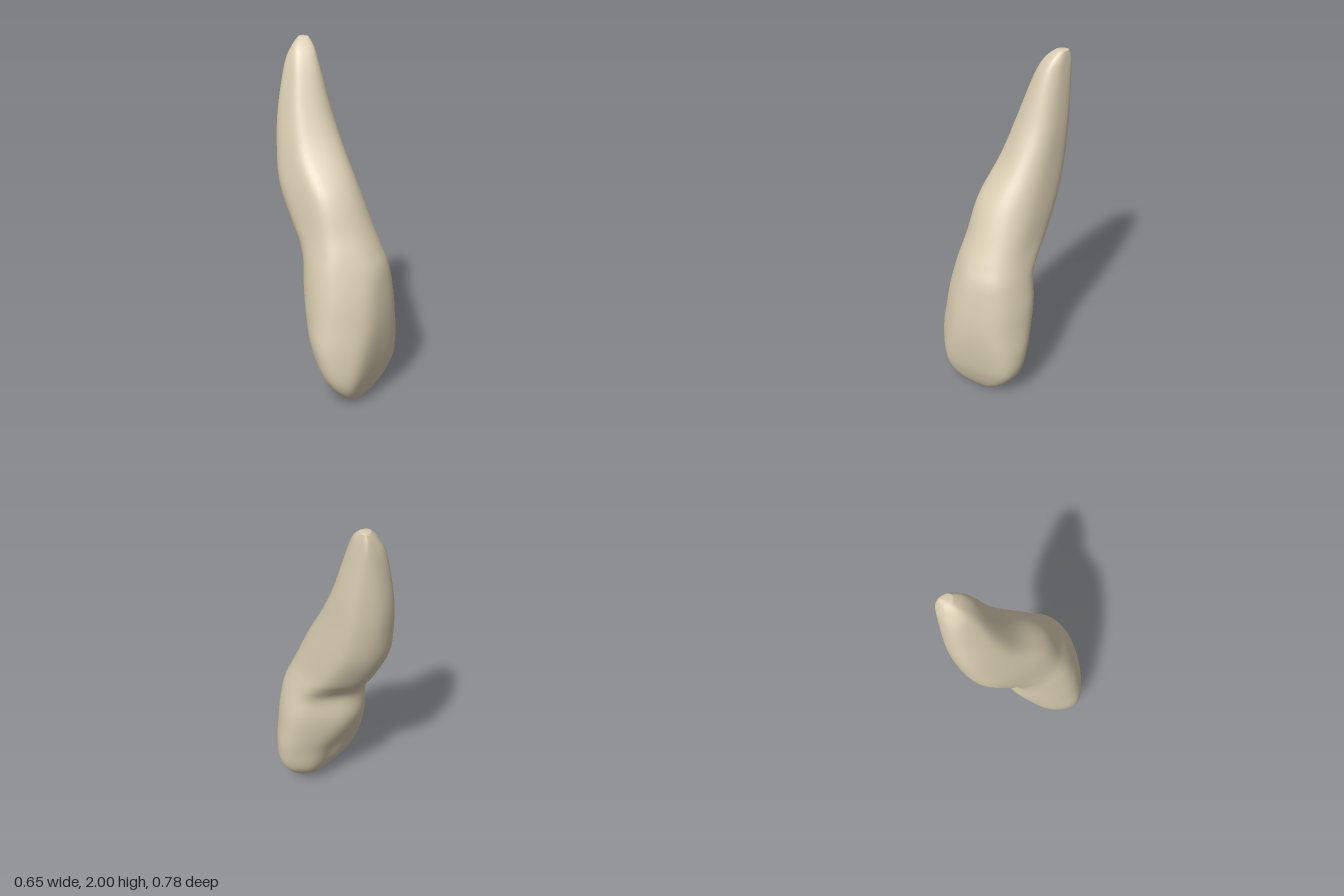
import * as THREE from 'three';

// Cross-sections from biting edge to root tip:
// y, then the near and far limits along four horizontal axes
const sections = [
  // y,    x-,   x+,    z-,    z+,    v-,   v+,    r-,   r+
  [0.00, 0.07, 0.15, 0.18, 0.25, 0.18, 0.235, -0.09, 0.01],
  [0.03, 0.00, 0.20, 0.11, 0.315, 0.145, 0.255, -0.17, 0.10],
  [0.10, -0.09, 0.275, 0.035, 0.37, 0.096, 0.286, -0.25, 0.18],
  [0.20, -0.152, 0.333, -0.03, 0.393, 0.03, 0.315, -0.315, 0.24],
  [0.35, -0.199, 0.338, -0.064, 0.389, -0.04, 0.337, -0.335, 0.265],
  [0.50, -0.215, 0.325, -0.094, 0.37, -0.1, 0.345, -0.312, 0.255],
  [0.65, -0.217, 0.31, -0.114, 0.345, -0.15, 0.337, -0.29, 0.24],
  [0.80, -0.217, 0.28, -0.119, 0.305, -0.157, 0.317, -0.262, 0.208],
  [0.90, -0.229, 0.242, -0.168, 0.272, -0.213, 0.275, -0.238, 0.187],
  [1.00, -0.264, 0.205, -0.232, 0.231, -0.282, 0.227, -0.222, 0.172],
  [1.20, -0.326, 0.134, -0.318, 0.155, -0.379, 0.132, -0.204, 0.162],
  [1.40, -0.331, 0.064, -0.36, 0.006, -0.417, 0.004, -0.172, 0.15],
  [1.60, -0.315, 0.005, -0.38, -0.09, -0.432, -0.108, -0.13, 0.14],
  [1.85, -0.266, -0.061, -0.393, -0.188, -0.415, -0.198, -0.062, 0.118],
  [1.95, -0.217, -0.091, -0.396, -0.248, -0.392, -0.248, -0.02, 0.106],
  [2.00, -0.175, -0.12, -0.375, -0.305, -0.37, -0.31, 0.035, 0.096],
];
const axes = [[1, 0], [0, 1], [Math.SQRT1_2, Math.SQRT1_2], [0.819, -0.574]];

const bump = (d, width) => Math.exp(-((d / width) ** 2));

// Smooth interpolation between neighbouring sections
function sectionAt(t) {
  const last = sections.length - 1;
  const i = Math.min(Math.floor(t), last - 1), f = t - i;
  const at = (k) => sections[Math.max(0, Math.min(last, k))];
  return sections[0].map((_, c) => {
    const [a, b, d, e] = [at(i - 1)[c], at(i)[c], at(i + 1)[c], at(i + 2)[c]];
    return b + 0.5 * f * (d - a + f * (2 * a - 5 * b + 4 * d - e + f * (3 * (b - d) + e - a)));
  });
}

// Rounded outline that touches the limits of one section
function outline(section, sides) {
  const [y, x0, x1, z0, z1] = section;
  const cx = (x0 + x1) / 2, cz = (z0 + z1) / 2;
  const points = [];
  for (let j = 0; j < sides; j++) {
    const angle = (j / sides) * Math.PI * 2;
    const dx = Math.cos(angle), dz = Math.sin(angle);
    let sum = 0;
    axes.forEach(([ax, az], k) => {
      const along = dx * ax + dz * az, mid = cx * ax + cz * az;
      const reach = along > 0 ? section[2 + 2 * k] - mid : mid - section[1 + 2 * k];
      sum += (Math.abs(along) / Math.max(reach, 0.008)) ** 8;
    });
    // shallow hollow and groove on the inner face of the crown
    const inner = bump(angle - 4.3, 0.5);
    const dent = inner * (0.16 * bump(y - 0.31, 0.17) + 0.05 * bump(y - 0.84, 0.08));
    const radius = sum ** -0.125 * (1 - dent);
    points.push(cx + dx * radius, y, cz + dz * radius);
  }
  return { points, centre: [cx, y, cz] };
}

// Skin over all outlines, closed at both ends
function buildTooth(rings, sides) {
  const positions = [], index = [], centres = [];
  for (let i = 0; i < rings; i++) {
    const ring = outline(sectionAt((i / (rings - 1)) * (sections.length - 1)), sides);
    positions.push(...ring.points);
    centres.push(ring.centre);
  }
  const bottom = rings * sides, top = bottom + 1, lastRing = (rings - 1) * sides;
  positions.push(...centres[0], ...centres[rings - 1]);
  for (let j = 0; j < sides; j++) {
    const n = (j + 1) % sides;
    for (let i = 0; i < rings - 1; i++) {
      const a = i * sides + j, b = i * sides + n;
      index.push(a, a + sides, b, b, a + sides, b + sides);
    }
    index.push(bottom, j, n, top, lastRing + n, lastRing + j);
  }
  const geometry = new THREE.BufferGeometry();
  geometry.setAttribute('position', new THREE.Float32BufferAttribute(positions, 3));
  geometry.setIndex(index);
  geometry.computeVertexNormals();
  return geometry;
}

export function createModel() {
  const group = new THREE.Group();
  group.name = 'tooth';
  const ivory = new THREE.MeshStandardMaterial({ color: 0xdbcfb3 });
  ivory.name = 'ivory';
  const tooth = new THREE.Mesh(buildTooth(76, 64), ivory);
  tooth.name = 'crownAndRoot';
  group.add(tooth);
  return group;
}
